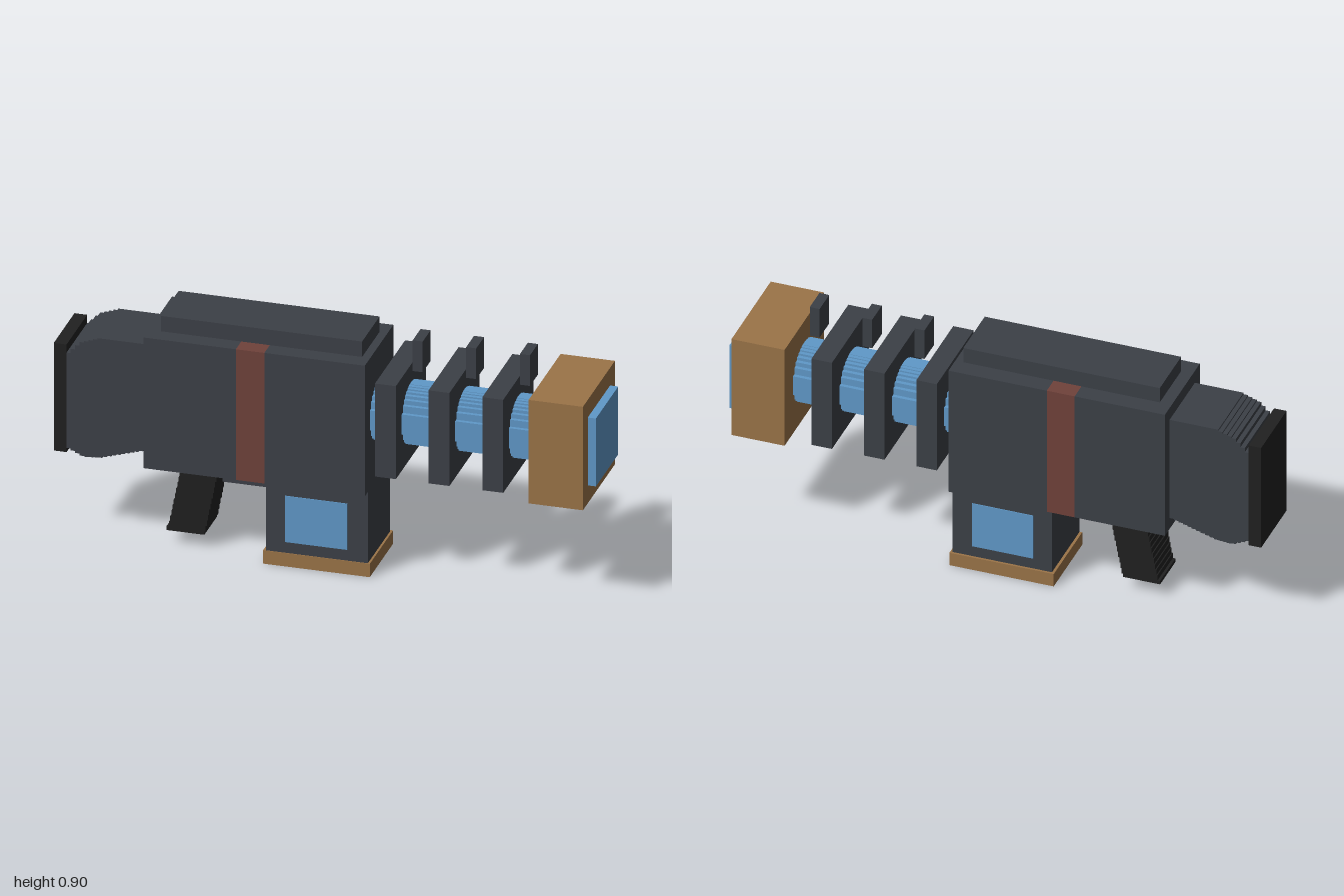
import * as THREE from 'three';

const mat = (name, color) => {
  const m = new THREE.MeshStandardMaterial({ color });
  m.name = name;
  return m;
};

export function createModel() {
  const dark = mat('dark grey', 0x3c4047);
  const black = mat('black', 0x202020);
  const red = mat('dull red', 0x70423b);
  const blue = mat('energy blue', 0x6099c9);
  const brown = mat('bronze brown', 0x9b7448);
  const model = new THREE.Group();
  model.name = 'blaster';

  const add = (name, geometry, material) => {
    const mesh = new THREE.Mesh(geometry, material);
    mesh.name = name;
    model.add(mesh);
    return mesh;
  };

  // Box given by its limits on each axis
  const box = (name, material, [x0, x1], [y0, y1], [z0, z1]) =>
    add(name, new THREE.BoxGeometry(x1 - x0, y1 - y0, z1 - z0), material)
      .position.set((x0 + x1) / 2, (y0 + y1) / 2, (z0 + z1) / 2);

  // Staircase outline: n columns between two curves, extruded
  const stepped = (u0, u1, n, low, high, depth) => {
    const du = (u1 - u0) / n;
    const bottom = [], top = [];
    for (let i = 0; i < n; i++) {
      const a = u0 + i * du, b = a + du, mid = a + du / 2;
      bottom.push(new THREE.Vector2(a, low(mid)), new THREE.Vector2(b, low(mid)));
      top.push(new THREE.Vector2(a, high(mid)), new THREE.Vector2(b, high(mid)));
    }
    const shape = new THREE.Shape([...bottom, ...top.reverse()]);
    return new THREE.ExtrudeGeometry(shape, { depth, bevelEnabled: false })
      .translate(0, 0, -depth / 2);
  };

  // Piecewise linear curve through [u, v] points
  const through = (points) => (u) => {
    let i = 1;
    while (i < points.length - 1 && u > points[i][0]) i++;
    const [a, va] = points[i - 1], [b, vb] = points[i];
    return va + (vb - va) * (u - a) / (b - a);
  };

  // Receiver with its red band and top rail
  const bodyY = [0.33, 0.84], bodyZ = [-0.177, 0.175];
  box('rearReceiver', dark, [-0.655, -0.315], bodyY, bodyZ);
  box('redBand', red, [-0.315, -0.21], bodyY, bodyZ);
  box('frontReceiver', dark, [-0.21, 0.16], bodyY, bodyZ);
  box('topRail', dark, [-0.61, 0.13], [0.84, 0.9], [-0.108, 0.108]);

  // Stepped stock and butt pad
  const stockTop = through([[-0.955, 0.71], [-0.9, 0.765], [-0.83, 0.79], [-0.65, 0.79]]);
  const stockBottom = through([[-0.955, 0.35], [-0.89, 0.32], [-0.83, 0.325], [-0.65, 0.38]]);
  add('stock', stepped(-0.955, -0.655, 18, stockBottom, stockTop, 0.255), dark)
    .position.z = -0.002;
  box('buttPad', black, [-1, -0.953], [0.33, 0.75], [-0.13, 0.126]);

  // Slanted stepped grip: columns run along y, then are turned upright
  const slant = (u) => -0.54 - 0.055 * (u + 0.33) / 0.28;
  const grip = stepped(-0.33, -0.065, 12, slant, (u) => slant(u) + 0.135, 0.156);
  add('grip', grip.rotateZ(-Math.PI / 2), black);
  box('gripFoot', black, [-0.6, -0.46], [0.052, 0.066], [-0.078, 0.078]);

  // Trigger and guard
  box('triggerGuard', dark, [-0.405, -0.21], [0.25, 0.287], [-0.04, 0.04]);
  box('trigger', dark, [-0.325, -0.3], [0.287, 0.33], [-0.03, 0.03]);

  // Magazine with a glowing window on each side
  box('magazine', dark, [-0.215, 0.16], [0.05, 0.33], [-0.138, 0.138]);
  box('magazineBase', brown, [-0.225, 0.168], [0, 0.052], [-0.147, 0.141]);
  for (const s of [-1, 1]) {
    const z = [s * 0.138, s * 0.141].sort((a, b) => a - b);
    box('magazineWindow', blue, [-0.145, 0.085], [0.095, 0.275], z);
  }

  // Barrel with a stepped round section
  const r = 0.113;
  const arc = (u) => Math.sqrt(r * r - u * u);
  const barrel = stepped(-r, r, 16, (u) => -arc(u), arc, 0.62);
  add('barrel', barrel.rotateY(Math.PI / 2), blue).position.set(0.465, 0.598, 0);

  // Cooling plates and the floating sight tabs
  for (const x of [0.2, 0.397, 0.595]) {
    box('coolingPlate', dark, [x, x + 0.077], [0.417, 0.78], [-0.188, 0.184]);
    box('sightTab', dark, [x + 0.098, x + 0.135], [0.78, 0.9], [-0.05, 0.047]);
  }

  // Muzzle block and emitter
  box('muzzle', brown, [0.77, 0.97], [0.396, 0.8], [-0.197, 0.199]);
  box('emitter', blue, [0.968, 1], [0.466, 0.731], [-0.137, 0.139]);

  return model;
}
